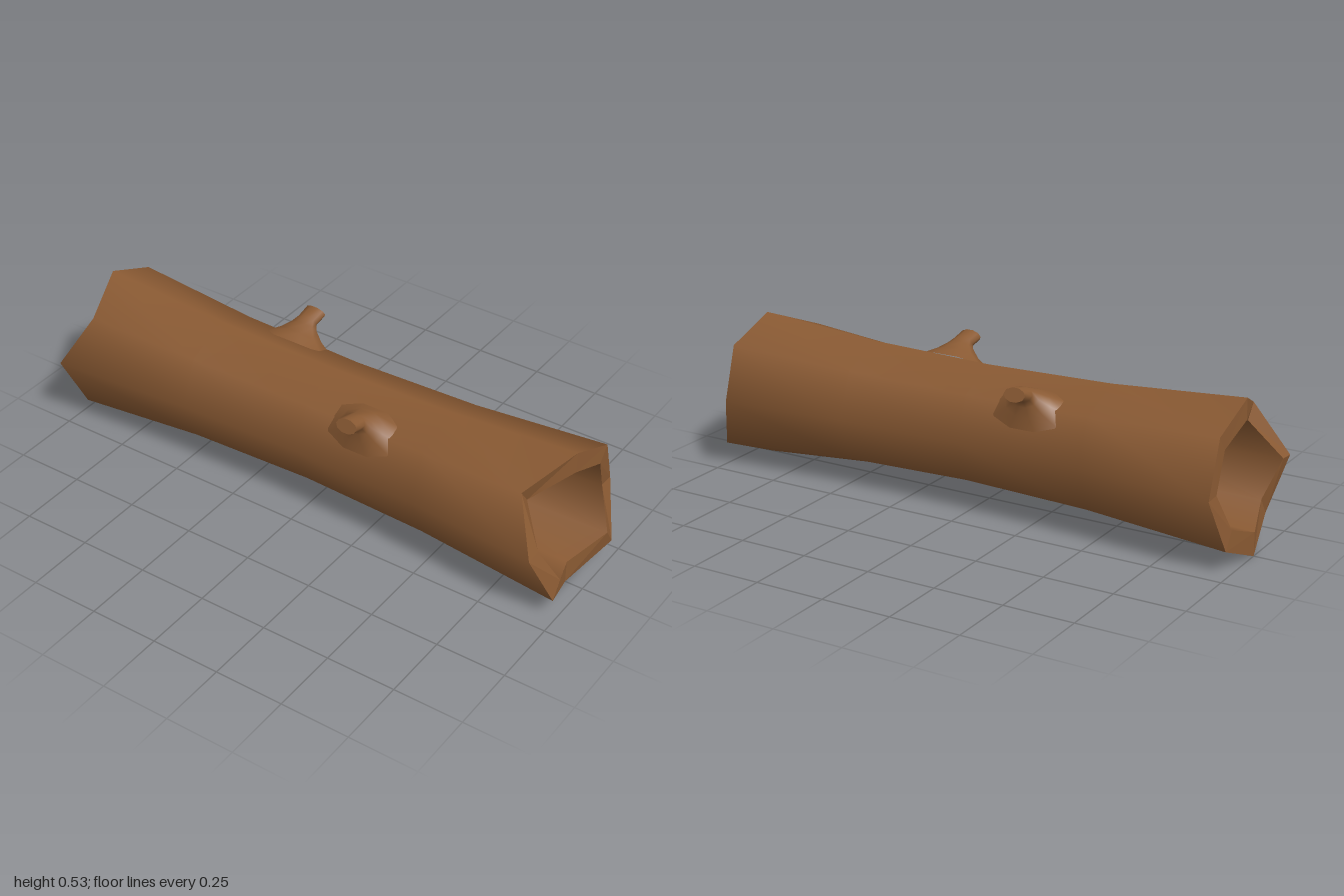
import * as THREE from 'three';

const SIDES = 8;
const CENTRE_Y = 0.268;

// Skin a list of closed cross-sections; flat gives faceted shading
function loft(rings, flat = false) {
  const n = rings[0].length;
  const index = [];
  for (let i = 0; i < rings.length - 1; i++) {
    for (let j = 0; j < n; j++) {
      const k = (j + 1) % n;
      const a = i * n + j, b = i * n + k, c = a + n, d = b + n;
      index.push(a, c, b, b, c, d);
    }
  }
  let geometry = new THREE.BufferGeometry().setFromPoints(rings.flat());
  geometry.setIndex(index);
  if (flat) geometry = geometry.toNonIndexed();
  geometry.computeVertexNormals();
  return geometry;
}

// Octagonal section of the trunk; xs is one x, or one x per corner
function trunkRing(xs, ry, rz = ry, cy = CENTRE_Y) {
  return Array.from({ length: SIDES }, (_, j) => {
    const a = (j / SIDES) * Math.PI * 2;
    const x = Array.isArray(xs) ? xs[j] : xs;
    return new THREE.Vector3(x, cy + ry * Math.sin(a), rz * Math.cos(a));
  });
}

// Oval section of a branch stub, square to a direction tilted up from +z
function stubRing([y, z, rx, rv, tilt], sides = 10) {
  const dy = Math.sin(tilt), dz = Math.cos(tilt);
  return Array.from({ length: sides }, (_, j) => {
    const a = (j / sides) * Math.PI * 2;
    const v = rv * Math.sin(a);
    return new THREE.Vector3(rx * Math.cos(a), y - dz * v, z + dy * v);
  });
}

export function createModel() {
  const bark = new THREE.MeshStandardMaterial({ color: 0x8a5a33 });
  bark.name = 'bark brown';

  const model = new THREE.Group();
  model.name = 'hollowLog';
  const add = (parent, name, geometry) => {
    const mesh = new THREE.Mesh(geometry, bark);
    mesh.name = name;
    parent.add(mesh);
  };

  // Jagged ends: x of each corner, from the front corner up and over
  const rightX = [0.935, 0.85, 0.94, 0.95, 0.935, 1.0, 0.935, 0.99];
  const leftX = [-1.0, -0.895, -0.955, -0.95, -0.955, -0.985, -1.0, -0.955];

  const outer = [
    trunkRing(leftX, 0.267),
    trunkRing(-0.47, 0.229, 0.229, 0.271),
    trunkRing(0, 0.217, 0.217, 0.272),
    trunkRing(0.47, 0.229, 0.229, 0.271),
    trunkRing(rightX, 0.267),
  ];
  const inner = [
    trunkRing(leftX, 0.187, 0.21, 0.272),
    trunkRing(-0.47, 0.162, 0.164, 0.27),
    trunkRing(0, 0.153, 0.155, 0.27),
    trunkRing(0.47, 0.162, 0.164, 0.27),
    trunkRing(rightX, 0.187, 0.21, 0.272),
  ];
  add(model, 'outerBark', loft(outer));
  add(model, 'innerHollow', loft([...inner].reverse()));
  add(model, 'leftEndRim', loft([outer[4], inner[4]], true));
  add(model, 'rightEndRim', loft([inner[0], outer[0]], true));

  // Branch stub sections: y, z, half width, half height, tilt
  const sections = [
    [0.412, 0.142, 0.15, 0.085, 0.85],
    [0.442, 0.163, 0.085, 0.058, 0.8],
    [0.466, 0.182, 0.052, 0.037, 0.65],
    [0.481, 0.199, 0.038, 0.027, 0.4],
    [0.493, 0.251, 0.04, 0.025, 0.35],
  ];
  const rings = sections.map((s) => stubRing(s));
  const tip = rings[rings.length - 1];
  const tipCentre = stubRing([0.493, 0.251, 0, 0, 0.35]);

  // One stub on the front, one turned round to the back
  for (const [name, x, turn] of [['frontBranch', 0.228, 0], ['backBranch', -0.245, Math.PI]]) {
    const branch = new THREE.Group();
    branch.name = name;
    branch.position.x = x;
    branch.rotation.y = turn;
    add(branch, 'branchStub', loft(rings));
    add(branch, 'branchCut', loft([tip, tipCentre], true));
    model.add(branch);
  }
  return model;
}
